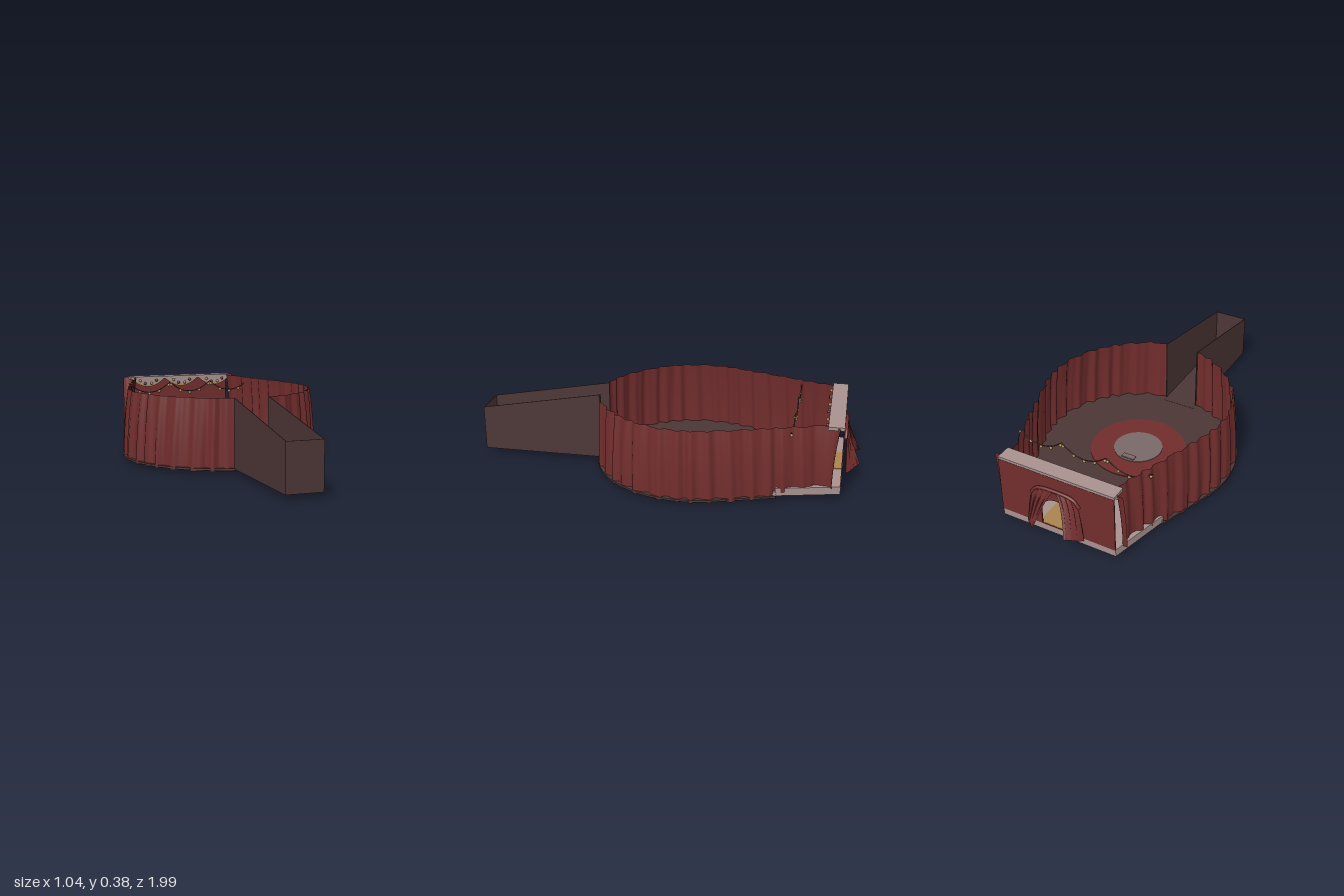
import * as THREE from 'three';

const mat = (name, color, side = THREE.FrontSide) => {
  const m = new THREE.MeshStandardMaterial({ color, side });
  m.name = name;
  return m;
};

export function createModel() {
  const model = new THREE.Group();
  model.name = 'showTent';
  const red = mat('curtainRed', 0x722d2d, THREE.DoubleSide);
  const brown = mat('darkBrown', 0x4d3636, THREE.DoubleSide);
  const pale = mat('palePink', 0xa89290, THREE.DoubleSide);
  const grey = mat('plinthGrey', 0x7a6868);
  const gold = mat('gold', 0xa9844e, THREE.DoubleSide);

  const add = (name, geo, material, x = 0, y = 0, z = 0) => {
    const mesh = new THREE.Mesh(geo, material);
    mesh.name = name;
    mesh.position.set(x, y, z);
    model.add(mesh);
    return mesh;
  };
  const box = (name, m, w, h, d, x, y, z) => add(name, new THREE.BoxGeometry(w, h, d), m, x, y, z);
  // Flat slab from a plan outline drawn with y pointing to the back
  const slab = (name, shape, m, bottom, height) => {
    const geo = new THREE.ExtrudeGeometry(shape, { depth: height, bevelEnabled: false, curveSegments: 48 });
    add(name, geo.rotateX(-Math.PI / 2), m, 0, bottom, 0);
  };
  const polygon = (pts) => new THREE.Shape(pts.map(([x, y]) => new THREE.Vector2(x, y)));
  // Cloth surface from a rule (u across, v upward)
  const cloth = (name, nu, nv, rule, m) => {
    const geo = new THREE.PlaneGeometry(1, 1, nu, nv);
    const p = geo.attributes.position;
    for (let i = 0; i < p.count; i++) p.setXYZ(i, ...rule(p.getX(i) + 0.5, p.getY(i) + 0.5));
    geo.computeVertexNormals();
    return add(name, geo, m);
  };
  const lerp = THREE.MathUtils.lerp;

  // Arena floor, ring and central plinth
  const floor = new THREE.Shape();
  floor.absarc(0, 0.14, 0.52, Math.PI - 0.32, Math.PI * 2 + 0.32, false);
  floor.lineTo(0.395, 0.6);
  floor.lineTo(-0.395, 0.6);
  slab('arenaFloor', floor, brown, 0.02, 0.01);
  add('arenaRing', new THREE.CylinderGeometry(0.25, 0.25, 0.016, 64), red, 0, 0.026, -0.14);
  add('plinth', new THREE.CylinderGeometry(0.128, 0.128, 0.037, 48), grey, 0, 0.0185, -0.14);
  box('plinthHandle', grey, 0.07, 0.006, 0.03, 0, 0.04, -0.24);

  // Stage with front step and runner
  slab('stage', polygon([[-0.39, 0.595], [0.39, 0.595], [0.312, 0.908], [-0.312, 0.908]]), pale, 0.03, 0.04);
  slab('stageStep', polygon([[-0.385, 0.54], [0.385, 0.54], [0.39, 0.6], [-0.39, 0.6]]), pale, 0.03, 0.02);
  box('stageRunner', gold, 0.208, 0.004, 0.31, 0, 0.071, -0.752);
  box('stepRunner', gold, 0.208, 0.004, 0.055, 0, 0.051, -0.568);
  box('runnerFront', gold, 0.208, 0.02, 0.004, 0, 0.061, -0.594);

  // Entrance passage: open-topped, with sloping side walls
  const H = 0.093;
  for (const s of [-1, 1]) {
    const side = polygon([[0.35, 0.027], [1, 0.027], [1, 0.262], [0.35, 0.38]]);
    const geo = new THREE.ExtrudeGeometry(side, { depth: 0.004, bevelEnabled: false });
    geo.rotateY(-Math.PI / 2);
    add('passageWall', geo, brown, s > 0 ? H : -H + 0.004, 0, 0);
  }
  box('passageEnd', brown, H * 2, 0.235, 0.004, 0, 0.1445, 0.998);
  box('passageFloor', brown, H * 2, 0.006, 0.68, 0, 0.028, 0.66);

  // Pleated side curtains following the floor outline
  const plan = [];
  for (let i = 0; i <= 14; i++) {
    const a = lerp(Math.PI / 2 - 0.185, -0.32, i / 14);
    plan.push(new THREE.Vector3(Math.cos(a) * 0.507, 0, Math.sin(a) * 0.507 - 0.14));
  }
  for (const [x, z] of [[0.435, -0.45], [0.385, -0.6], [0.345, -0.72], [0.312, -0.83], [0.325, -0.86], [0.35, -0.865]])
    plan.push(new THREE.Vector3(x, 0, z));
  const path = new THREE.CatmullRomCurve3(plan);
  for (const s of [-1, 1]) {
    cloth('sideCurtain', 220, 10, (u, v) => {
      const p = path.getPointAt(u), t = path.getTangentAt(u);
      const pleat = Math.sin(u * 100 + 1.2 * Math.sin(u * 23 + s) + v * 0.5) + 0.35 * Math.sin(u * 187 + v * 2);
      const fade = Math.min(1, u * 25, (1 - u) * 12);
      const out = 0.009 * pleat * fade * lerp(1.1, 0.75, v) - 0.024 * v * v * Math.min(1, u * 5);
      const bottom = 0.013 + 0.055 * THREE.MathUtils.smoothstep(-p.z, 0.42, 0.78);
      // outward direction is the tangent turned a quarter
      return [s * (p.x - t.z * out), lerp(bottom, 0.378, v), p.z + t.x * out];
    }, red);
  }

  // Back wall with arched opening
  const wall = polygon([[-0.312, 0.068], [0.312, 0.068], [0.312, 0.368], [-0.312, 0.368]]);
  const arch = new THREE.Path();
  arch.moveTo(-0.085, 0.072);
  arch.lineTo(-0.085, 0.15);
  arch.absarc(0, 0.15, 0.085, Math.PI, 0, true);
  arch.lineTo(0.085, 0.072);
  wall.holes.push(arch);
  add('backWall', new THREE.ExtrudeGeometry(wall, { depth: 0.006, bevelEnabled: false }), red, 0, 0, -0.911);

  // Parted drapes behind the opening
  for (const s of [-1, 1]) {
    cloth('backDrape', 40, 16, (u, v) => {
      const d = 1 - v;
      const x = lerp(lerp(0.0, 0.12, u), lerp(0.085, 0.155, u), Math.pow(d, 0.65));
      const flare = Math.pow(d, 1.2) * (1 - u * 0.85);
      const fold = 0.008 * Math.sin(u * 22) * (0.3 + d);
      const y = lerp(0.072 + 0.03 * (1 - u), 0.298 - 0.03 * u * u, v);
      return [s * (x + fold * 0.5), y, -0.921 - 0.073 * flare + fold * (1 - flare)];
    }, red);
  }
  const hood = new THREE.CatmullRomCurve3([[-0.13, 0.25], [-0.1, 0.285], [0, 0.298], [0.1, 0.285], [0.13, 0.25]]
    .map(([x, y]) => new THREE.Vector3(x, y, -0.917)));
  add('drapeRail', new THREE.TubeGeometry(hood, 24, 0.008, 8), red);

  // Pale top beam and scalloped valance with gold trim
  box('topBeam', pale, 0.624, 0.016, 0.08, 0, 0.373, -0.87);
  const bead = new THREE.SphereGeometry(0.0085, 12, 8);
  const W = 0.104;
  const swag = (depth) => {
    const shape = new THREE.Shape();
    for (let i = 0; i <= 24; i++) {
      const k = -1 + i / 12;
      shape[i ? 'lineTo' : 'moveTo'](k * W, 0.372 - depth * (1 - k * k));
    }
    return new THREE.ShapeGeometry(shape);
  };
  for (const i of [-1, 0, 1]) {
    const cx = i * W * 2;
    add('valanceTrim', swag(0.052), gold, cx, 0, -0.831);
    add('valanceSwag', swag(0.041), pale, cx, 0, -0.829);
    [-0.05, -0.02, 0.02, 0.05].forEach((x, n) =>
      add('valanceBead', bead, n % 2 ? red : gold, cx + x, 0.338 + 8 * x * x, -0.823));
  }

  // Beaded garland strung from wall to wall
  const G = 0.123;
  for (const i of [-1, 0, 1]) {
    const at = (x) => new THREE.Vector3(i * G * 2 + x, 0.306 + 3.6 * x * x, -0.66);
    const curve = new THREE.CatmullRomCurve3([-G, -G / 2, 0, G / 2, G].map(at));
    add('garlandCord', new THREE.TubeGeometry(curve, 24, 0.003, 6), brown);
    for (const x of [-0.115, -0.058, 0, 0.058, 0.115]) {
      const p = at(x);
      add('garlandBead', bead, gold, p.x, p.y - 0.009, p.z);
    }
  }
  return model;
}
